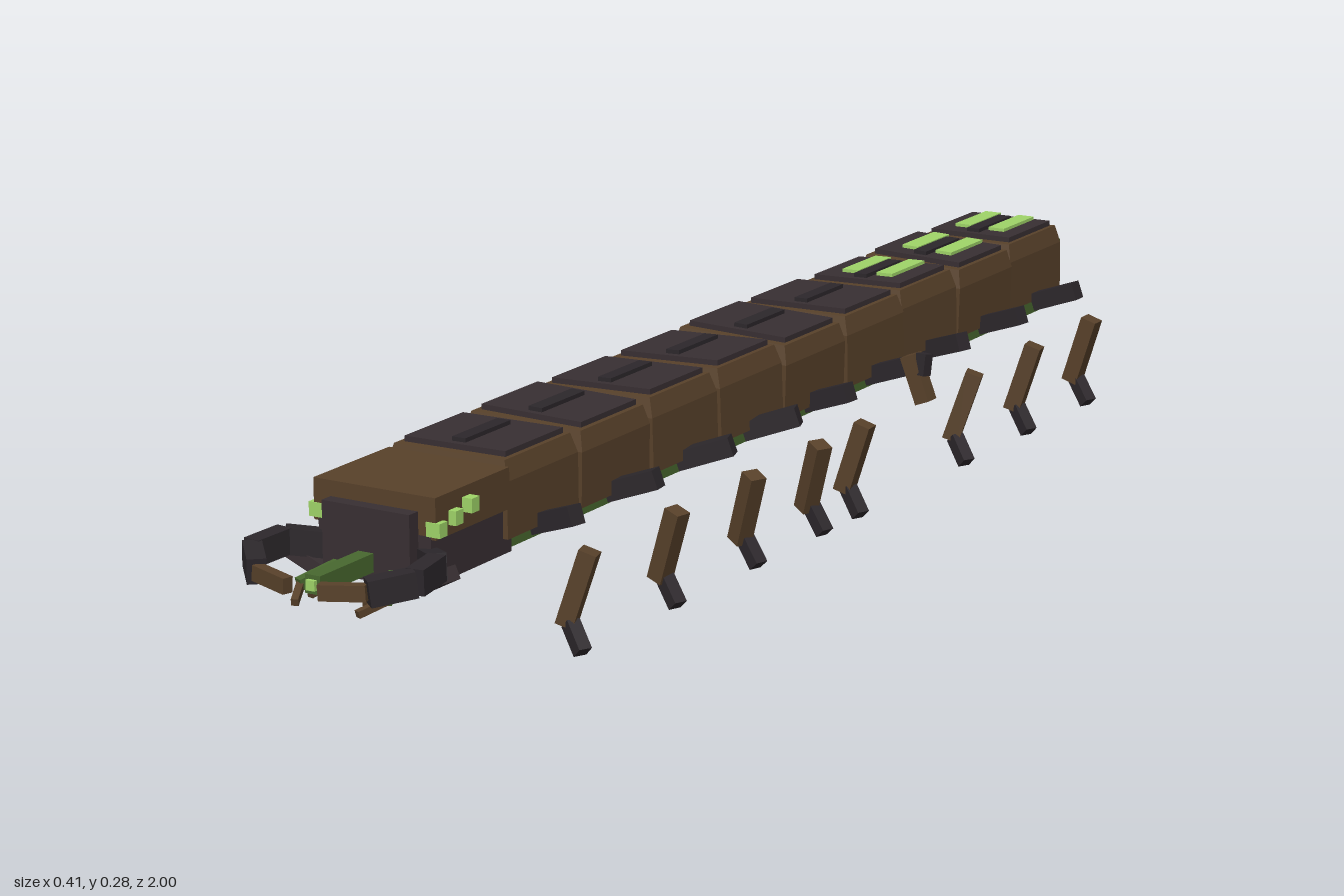
import * as THREE from 'three';

const mat = (name, color) => {
  const m = new THREE.MeshStandardMaterial({ color });
  m.name = name;
  return m;
};

export function createModel() {
  const brown = mat('shell brown', 0x58412a);
  const dark = mat('plate dark', 0x382f32);
  const black = mat('limb dark', 0x2c272b);
  const green = mat('body green', 0x48682f);
  const lime = mat('glow lime', 0x9fd468);

  const model = new THREE.Group();
  model.name = 'centipede';
  const body = new THREE.Group();
  body.name = 'body';
  body.position.x = 0.008;
  model.add(body);

  const box = (parent, name, m, w, h, d, x, y, z) => {
    const mesh = new THREE.Mesh(new THREE.BoxGeometry(w, h, d), m);
    mesh.name = name;
    mesh.position.set(x, y, z);
    parent.add(mesh);
    return mesh;
  };
  // box running from point a to point b
  const bar = (parent, name, m, a, b, w, h) => {
    const p = new THREE.Vector3(...a), q = new THREE.Vector3(...b);
    const mesh = new THREE.Mesh(new THREE.BoxGeometry(w, h, p.distanceTo(q)), m);
    mesh.name = name;
    mesh.position.copy(p).lerp(q, 0.5);
    mesh.lookAt(q);
    parent.add(mesh);
    return mesh;
  };
  // box whose top corners are drawn in
  const tapered = (parent, name, m, w, h, d, x, y, z, sx, sz) => {
    const mesh = box(parent, name, m, w, h, d, x, y, z);
    const p = mesh.geometry.attributes.position;
    for (let i = 0; i < p.count; i++) {
      if (p.getY(i) > 0) p.setXYZ(i, p.getX(i) * sx, p.getY(i), p.getZ(i) * sz);
    }
    mesh.geometry = mesh.geometry.toNonIndexed();
    mesh.geometry.computeVertexNormals();
    return mesh;
  };

  // soft core and belly running under all the shells
  box(body, 'core', green, 0.162, 0.105, 1.66, 0, 0.1975, -0.17);

  // nine armoured segments, tail first
  const swingLeft = [0, 0.02, 0.04, 0.01, 0.01, -0.055, -0.05, -0.02, 0.03];
  const swingRight = [0, -0.035, -0.05, -0.035, 0.005, 0.04, 0.03, -0.01, -0.05];
  const roll = [0.01, -0.03, 0.03, 0.02, -0.03, 0.04, 0.03, -0.02, 0.01];
  for (let i = 0; i < 9; i++) {
    const z = -0.908 + i * 0.185;
    const seg = new THREE.Group();
    seg.name = 'segment' + (i + 1);
    seg.position.z = z;
    body.add(seg);
    const w = i === 0 ? 0.168 : i < 3 ? 0.18 : 0.195;

    const shell = new THREE.Group();
    shell.name = 'shell';
    shell.position.y = 0.21;
    shell.rotation.z = roll[i];
    seg.add(shell);
    box(shell, 'shellSide', brown, w, 0.08, 0.176, 0, -0.005, 0);
    tapered(shell, 'shellTop', brown, w, 0.028, 0.176, 0, 0.049, 0, 0.92, 0.92);
    box(shell, 'backPlate', dark, w * 0.84, 0.01, 0.142, 0, 0.066, -0.004);
    box(shell, 'ridge', black, 0.022, 0.008, 0.11, 0, 0.073, 0.002);
    if (i < 3) {
      for (const s of [-1, 1]) {
        box(shell, 'glowStrip', lime, 0.028, 0.008, 0.105, s * 0.03, 0.072, -0.018);
      }
    }

    // a leg on each side, swung forward or back
    for (const s of [-1, 1]) {
      const swing = s > 0 ? swingLeft[i] : swingRight[i];
      const leg = new THREE.Group();
      leg.name = s > 0 ? 'leftLeg' : 'rightLeg';
      seg.add(leg);
      const raised = s > 0 && i === 3;
      bar(leg, 'thigh', black, [s * 0.085, 0.165, 0], [s * 0.16, 0.192, swing * 0.5], 0.026, 0.028);
      if (raised) {
        bar(leg, 'shin', brown, [s * 0.163, 0.21, swing], [s * 0.19, 0.14, swing], 0.026, 0.024);
        bar(leg, 'foot', black, [s * 0.187, 0.215, swing], [s * 0.186, 0.182, swing + 0.005], 0.018, 0.018);
      } else {
        bar(leg, 'shin', brown, [s * 0.187, 0.148, swing * 0.8], [s * 0.154, 0.042, swing * 1.1], 0.026, 0.026);
        bar(leg, 'foot', black, [s * 0.162, 0.046, swing * 1.15], [s * 0.19, 0.012, swing * 1.2 + 0.012], 0.02, 0.02);
      }
    }
  }

  // head with a brown cap over a dark lower half
  const head = new THREE.Group();
  head.name = 'head';
  body.add(head);
  box(head, 'headCap', brown, 0.195, 0.058, 0.175, 0, 0.237, 0.742);
  box(head, 'headLower', dark, 0.18, 0.068, 0.19, 0, 0.178, 0.735);
  box(head, 'face', dark, 0.14, 0.1, 0.03, 0, 0.194, 0.835);

  // proboscis
  box(head, 'proboscis', green, 0.024, 0.026, 0.13, 0, 0.17, 0.905);
  box(head, 'proboscisTip', lime, 0.014, 0.014, 0.008, 0, 0.17, 0.972);

  for (const s of [-1, 1]) {
    // stepped row of eyes
    for (let k = 0; k < 3; k++) {
      box(head, 'eye', lime, 0.022, 0.02, 0.018, s * (0.094 + k * 0.004), 0.222 + k * 0.01, 0.822 - k * 0.032);
    }
    // curved pincer built from straight links
    const path = [[0.075, 0.175, 0.82], [0.122, 0.185, 0.862], [0.13, 0.182, 0.925], [0.088, 0.174, 0.972], [0.025, 0.17, 0.99]];
    path.forEach((p, k) => {
      if (k === 4) return;
      const q = path[k + 1], tip = k === 3;
      bar(head, tip ? 'pincerTip' : 'pincerLink', tip ? brown : black,
        [s * p[0], p[1], p[2]], [s * q[0], q[1], q[2]], tip ? 0.016 : 0.026, tip ? 0.022 : 0.036);
    });
    // jaw under the cheek
    bar(head, 'jaw', dark, [s * 0.07, 0.14, 0.835], [s * 0.13, 0.172, 0.845], 0.03, 0.02);
    // feelers either side of the mouth
    bar(head, 'feeler', green, [s * 0.045, 0.158, 0.85], [s * 0.07, 0.142, 0.905], 0.014, 0.016);
    bar(head, 'feelerTip', brown, [s * 0.07, 0.142, 0.9], [s * 0.05, 0.13, 0.942], 0.01, 0.01);
    bar(head, 'fang', brown, [s * 0.03, 0.15, 0.85], [s * 0.045, 0.135, 0.915], 0.01, 0.01);
  }
  return model;
}
